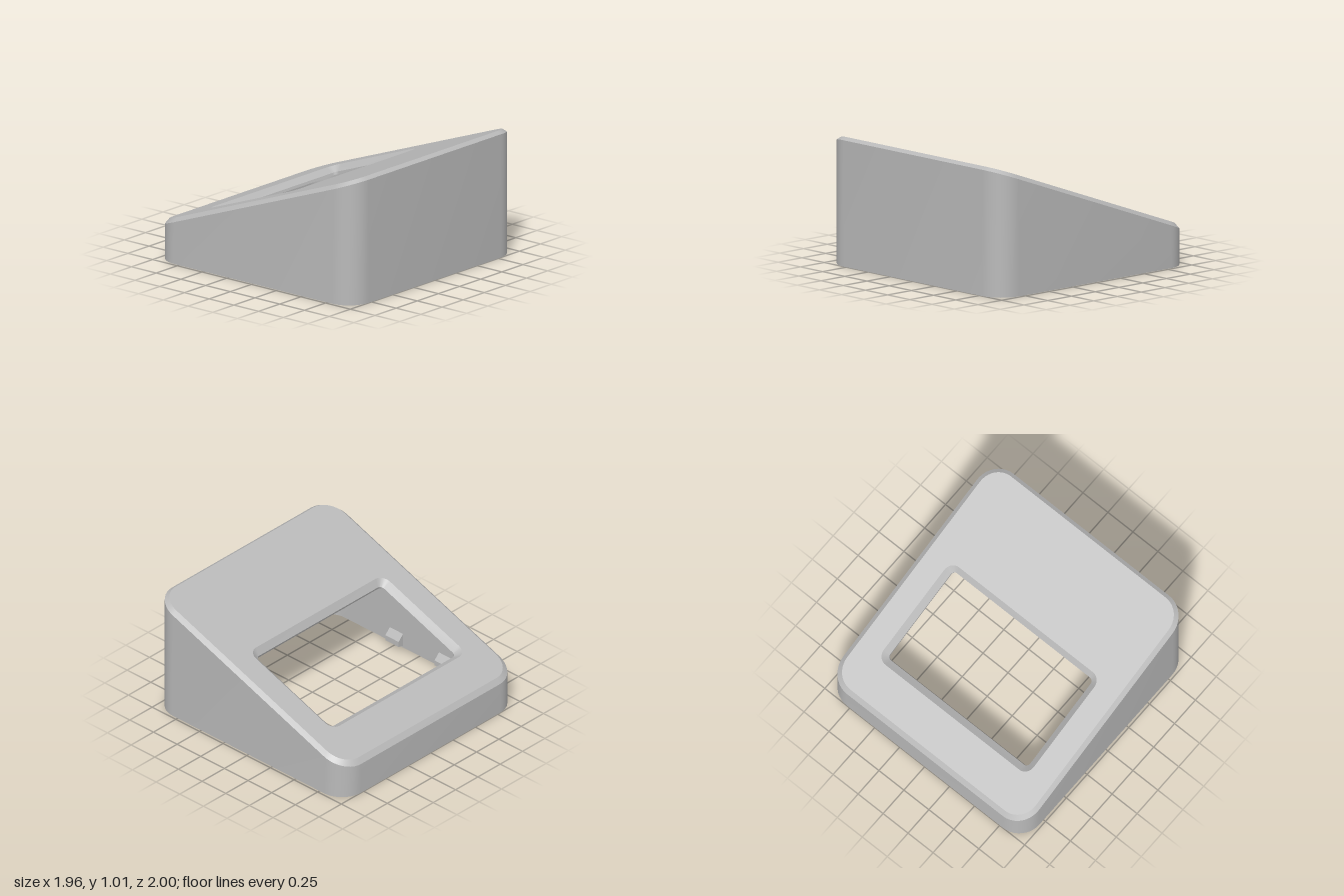
import * as THREE from 'three';
import { toCreasedNormals } from 'three/addons/utils/BufferGeometryUtils.js';

const SLOPE = Math.tan(THREE.MathUtils.degToRad(20));
const flat = (h) => () => h;
const sloped = (h) => (z) => h + SLOPE * z;

// Rounded rectangle loop, counter-clockwise from above, with a height rule
function ring(halfX, zBack, zFront, r, height, n = 10) {
  const points = [];
  const corners = [[1, zBack + r], [-1, zBack + r], [-1, zFront - r], [1, zFront - r]];
  corners.forEach(([side, cz], c) => {
    for (let i = 0; i <= n; i++) {
      const a = (c + i / n) * Math.PI / 2;
      const z = cz - r * Math.sin(a);
      points.push([side * (halfX - r) + r * Math.cos(a), height(z), z]);
    }
  });
  return points;
}

// Skin running through a list of loops
function loft(rings) {
  const pos = [];
  for (let j = 0; j < rings.length - 1; j++) {
    const a = rings[j], b = rings[j + 1], n = a.length;
    for (let i = 0; i < n; i++) {
      const k = (i + 1) % n;
      pos.push(...a[i], ...a[k], ...b[k], ...a[i], ...b[k], ...b[i]);
    }
  }
  const g = new THREE.BufferGeometry();
  g.setAttribute('position', new THREE.Float32BufferAttribute(pos, 3));
  return toCreasedNormals(g, 0.45);
}

// Snap-fit wedge, growing along +x from a wall
function clipGeometry(length, depth, y0, y1) {
  const h = y1 - y0;
  const s = new THREE.Shape([
    new THREE.Vector2(-0.01, y0),
    new THREE.Vector2(depth, y0 + h * 0.12),
    new THREE.Vector2(depth, y0 + h * 0.5),
    new THREE.Vector2(-0.01, y1),
  ]);
  return new THREE.ExtrudeGeometry(s, { depth: length, bevelEnabled: false })
    .translate(0, 0, -length / 2);
}

export function createModel() {
  const group = new THREE.Group();
  const grey = new THREE.MeshStandardMaterial({ color: 0xb9b9b9 });
  grey.name = 'grey plastic';

  const add = (name, geometry, x = 0, y = 0, z = 0, turn = 0) => {
    const mesh = new THREE.Mesh(geometry, grey);
    mesh.name = name;
    mesh.position.set(x, y, z);
    mesh.rotation.y = turn;
    group.add(mesh);
    return mesh;
  };

  // Hollow wedge: outside wall, chamfer, sloped top, window, inside wall, stepped rim
  add('housing', loft([
    ring(0.98, -1, 1, 0.2, flat(0)),
    ring(0.98, -1, 1, 0.2, sloped(0.627)),
    ring(0.945, -0.968, 0.966, 0.17, sloped(0.66)),
    ring(0.75, -0.67, 0.215, 0.08, sloped(0.66)),
    ring(0.7, -0.606, 0.185, 0.035, sloped(0.607)),
    ring(0.7, -0.599, 0.192, 0.035, sloped(0.585)),
    ring(0.91, -0.93, 0.93, 0.13, sloped(0.585)),
    ring(0.91, -0.93, 0.93, 0.13, flat(0.03)),
    ring(0.94, -0.96, 0.96, 0.16, flat(0.03)),
    ring(0.94, -0.96, 0.96, 0.16, flat(0)),
    ring(0.98, -1, 1, 0.2, flat(0)),
  ]));

  // Long ribs inside the front and back walls
  add('frontRib', clipGeometry(1.4, 0.05, 0.05, 0.18), 0, 0, 0.93, Math.PI / 2);
  add('backRib', clipGeometry(1.2, 0.05, 0.05, 0.16), 0, 0, -0.93, -Math.PI / 2);

  for (const side of [1, -1]) {
    const label = side > 0 ? 'left' : 'right';
    // Short tabs inside the side walls
    for (const z of [0.22, -0.3]) {
      add(label + 'Tab', clipGeometry(0.14, 0.05, 0.04, 0.16),
        side * 0.91, 0, z, side > 0 ? Math.PI : 0);
    }
    // Round pads under the sloped top
    const pad = add(label + 'Pad', new THREE.CylinderGeometry(0.09, 0.09, 0.03, 28),
      side * 0.66, 0.585 + SLOPE * 0.63 - 0.008, 0.63);
    pad.rotation.x = -Math.atan(SLOPE);
  }
  return group;
}
